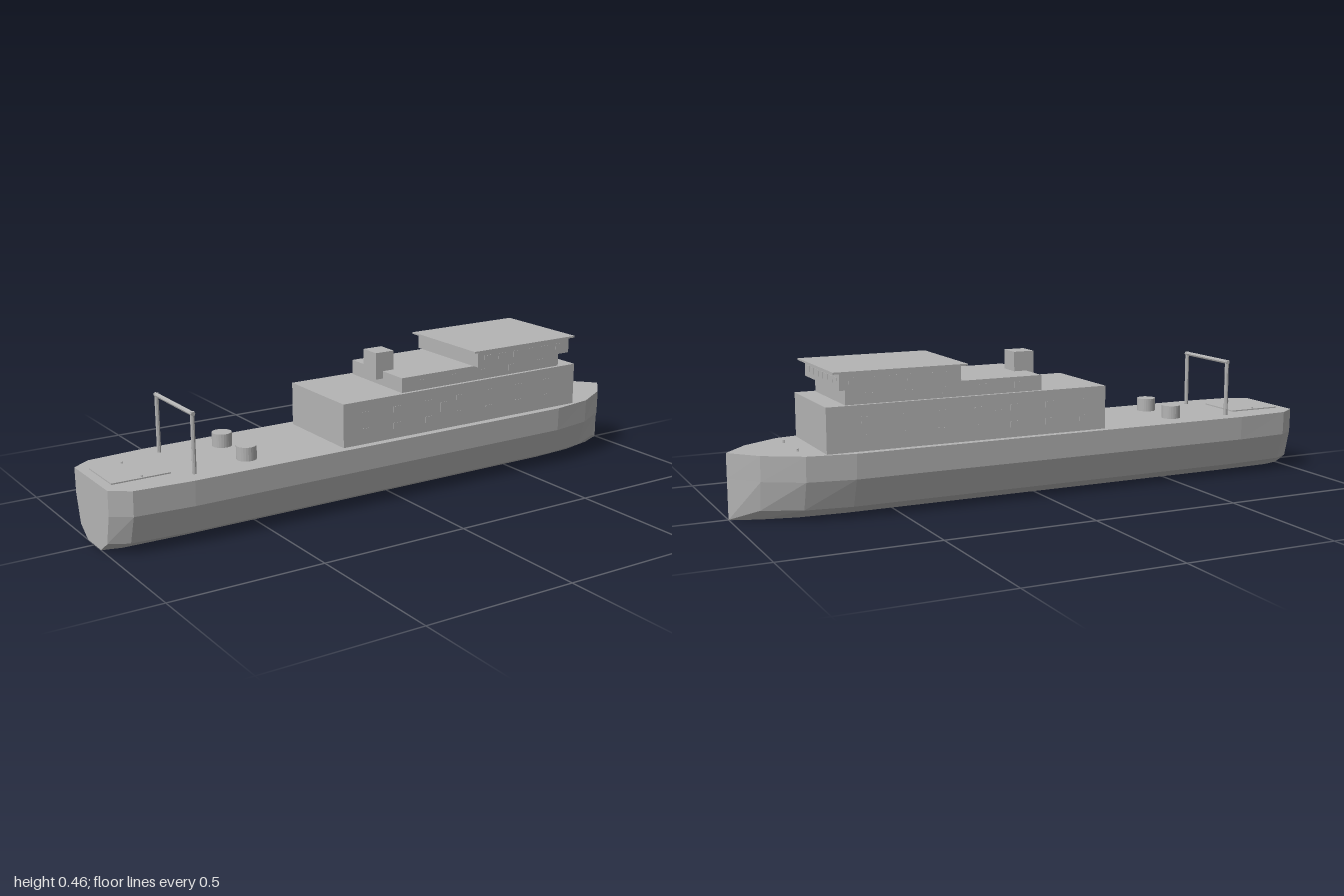
import * as THREE from 'three';

const grey = new THREE.MeshStandardMaterial({ color: 0xb4b4b4, flatShading: true });
grey.name = 'ship grey';

const DECK = 0.208;

// Faceted hull lofted through scaled cross-sections
function hullGeometry() {
  const stations = [[-1, 0.128], [-0.94, 0.17], [-0.75, 0.185], [0.65, 0.186], [0.8, 0.16], [0.92, 0.09], [1, 0]];
  const half = [[0.4, 0], [0.8, 0.036], [0.985, 0.128], [1, DECK]];
  const profile = [...half, ...half.map(([w, y]) => [-w, y]).reverse()];
  const n = profile.length;
  const rings = stations.map(([x, w]) =>
    profile.map(([k, y]) => [x, w === 0 && y < 0.05 ? 0 : y, k * w]));
  const pos = [];
  const tri = (a, b, c) => pos.push(...a, ...b, ...c);
  for (let s = 0; s < rings.length - 1; s++) {
    for (let i = 0; i < n; i++) {
      const j = (i + 1) % n;
      const a = rings[s][i], b = rings[s][j], c = rings[s + 1][j], d = rings[s + 1][i];
      tri(a, d, c);
      tri(a, c, b);
    }
  }
  // Transom
  for (let i = 1; i < n - 1; i++) tri(rings[0][0], rings[0][i], rings[0][i + 1]);
  const g = new THREE.BufferGeometry();
  g.setAttribute('position', new THREE.Float32BufferAttribute(pos, 3));
  g.computeVertexNormals();
  return g;
}

export function createModel() {
  const ship = new THREE.Group();
  ship.name = 'ship';

  const add = (name, geometry, x = 0, y = 0, z = 0) => {
    const mesh = new THREE.Mesh(geometry, grey);
    mesh.name = name;
    mesh.position.set(x, y, z);
    ship.add(mesh);
    return mesh;
  };
  // Box given by its extents, symmetric about z = 0
  const block = (name, x0, x1, y0, y1, halfZ) =>
    add(name, new THREE.BoxGeometry(x1 - x0, y1 - y0, 2 * halfZ), (x0 + x1) / 2, (y0 + y1) / 2, 0);
  const post = (name, r, h, x, y, z, sides = 16) =>
    add(name, new THREE.CylinderGeometry(r, r, h, sides), x, y + h / 2, z);

  add('hull', hullGeometry());

  // Superstructure, stacked upwards
  block('lowerDeckhouse', -0.22, 0.735, DECK, 0.351, 0.16);
  block('upperDeckhouse', 0.01, 0.67, 0.351, 0.4, 0.148);
  block('bridge', 0.3, 0.695, 0.4, 0.451, 0.171);
  block('bridgeRoof', 0.28, 0.716, 0.451, 0.457, 0.178);
  block('funnel', -0.017, 0.053, 0.375, 0.464, 0.037);

  // Aft hatch
  block('aftHatch', -0.97, -0.78, DECK, 0.212, 0.085);

  for (const side of [1, -1]) {
    // Goalpost legs, deck drums and bollards
    post('goalpostLeg', 0.007, 0.4 - DECK, -0.723, DECK, side * 0.125, 8);
    post('deckDrum', 0.032, 0.044, -0.525, DECK, side * 0.082, 24);
    post('foreBollard', 0.003, 0.009, 0.8, DECK, side * 0.075, 6);
    post('aftBollard', 0.003, 0.009, -0.87, DECK, side * 0.075, 6);

    // Side windows: count, first x, spacing, y, wall z
    const rows = [[7, -0.14, 0.125, 0.25, 0.16], [7, -0.14, 0.125, 0.305, 0.16],
      [5, 0.09, 0.125, 0.375, 0.148], [6, 0.34, 0.062, 0.427, 0.171]];
    for (const [count, x0, step, y, z] of rows) {
      for (let i = 0; i < count; i++) {
        add('sideWindow', new THREE.BoxGeometry(0.03, 0.02, 0.002), x0 + i * step, y, side * z);
      }
    }
    add('sideDoor', new THREE.BoxGeometry(0.03, 0.08, 0.002), 0.172, 0.26, side * 0.16);
  }
  // Goalpost crossbar
  const bar = add('goalpostBar', new THREE.CylinderGeometry(0.007, 0.007, 0.264, 8), -0.723, 0.394, 0);
  bar.rotation.x = Math.PI / 2;

  // Bridge front windows
  for (let i = -3; i <= 3; i++) {
    add('frontWindow', new THREE.BoxGeometry(0.002, 0.02, 0.03), 0.695, 0.427, i * 0.046);
  }
  return ship;
}
